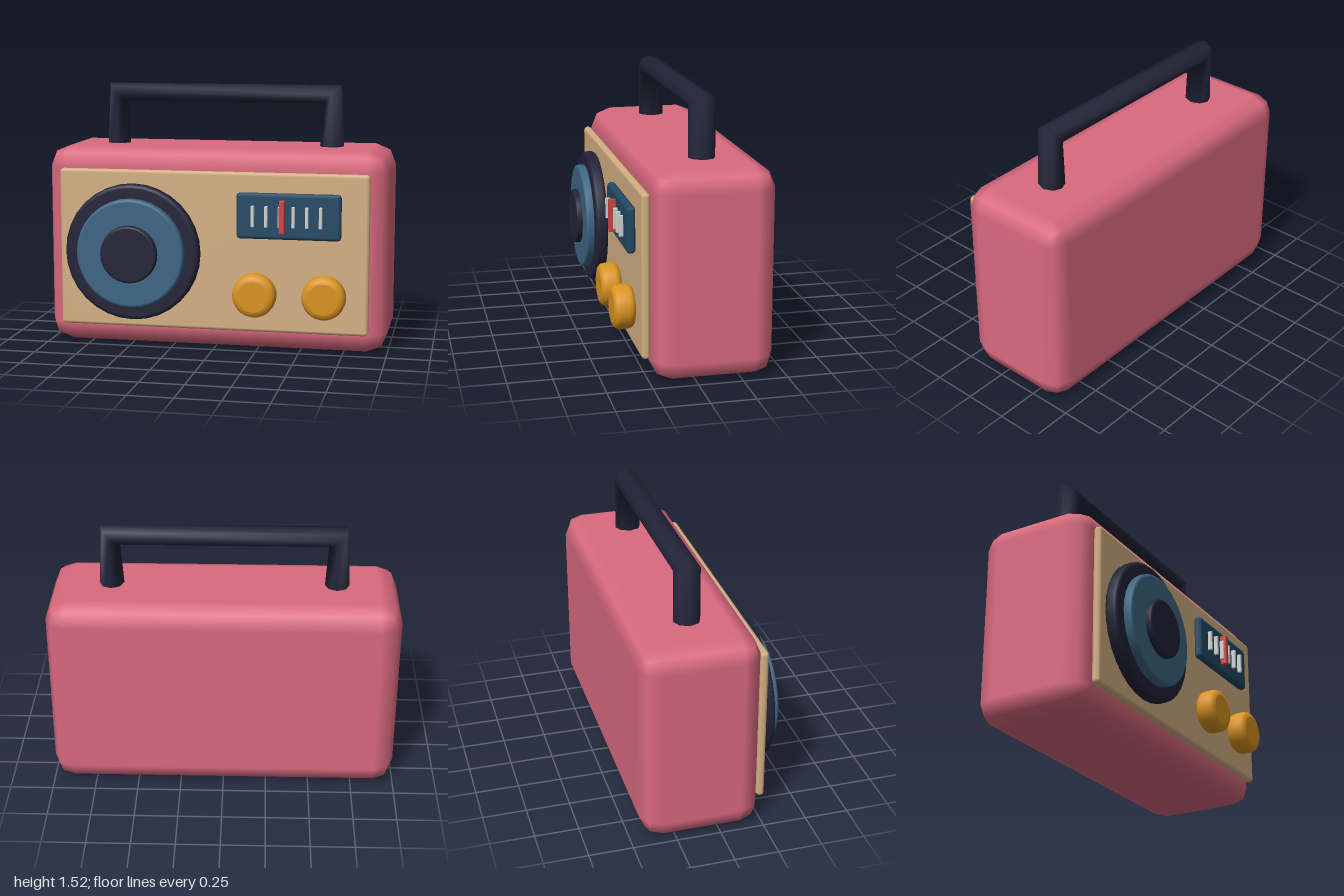
import * as THREE from 'three';
import { RoundedBoxGeometry } from 'three/addons/geometries/RoundedBoxGeometry.js';
import { mergeVertices } from 'three/addons/utils/BufferGeometryUtils.js';

const paint = (name, color) => Object.assign(new THREE.MeshStandardMaterial({ color }), { name });

export function createModel() {
  const pink = paint('pink', 0xda6a7f);
  const cream = paint('cream', 0xd6b185);
  const dark = paint('dark navy', 0x232338);
  const blue = paint('speaker blue', 0x3e6684);
  const teal = paint('display blue', 0x234a66);
  const amber = paint('amber', 0xdb9420);
  const red = paint('red', 0xd04444);
  const silver = paint('silver', 0xd0d4d2);

  const radio = new THREE.Group();
  radio.name = 'radio';

  const add = (name, geometry, material) => {
    const mesh = new THREE.Mesh(geometry, material);
    mesh.name = name;
    radio.add(mesh);
    return mesh;
  };

  // Softly rounded box given by its limits on each axis
  const block = (name, material, [x0, x1], [y0, y1], [z0, z1], radius) =>
    add(name, new RoundedBoxGeometry(x1 - x0, y1 - y0, z1 - z0, 1, radius), material)
      .position.set((x0 + x1) / 2, (y0 + y1) / 2, (z0 + z1) / 2);

  // Round disc facing +z with rounded rims; extra rings keep the flats flat
  const disc = (name, material, x, y, z0, z1, r, bevel) => {
    const h = z1 - z0;
    const e = 0.001;
    const profile = [new THREE.Vector2(0, 0), new THREE.Vector2(r - bevel - e, 0)];
    for (let i = 0; i <= 3; i++) {
      const a = (i / 3) * Math.PI / 2;
      profile.push(new THREE.Vector2(r - bevel + bevel * Math.sin(a), bevel - bevel * Math.cos(a)));
    }
    for (let i = 0; i <= 3; i++) {
      const a = (i / 3) * Math.PI / 2;
      profile.push(new THREE.Vector2(r - bevel + bevel * Math.cos(a), h - bevel + bevel * Math.sin(a)));
    }
    profile.push(new THREE.Vector2(r - bevel - e, h), new THREE.Vector2(0, h));
    const mesh = add(name, new THREE.LatheGeometry(profile, 32), material);
    mesh.rotation.x = Math.PI / 2;
    mesh.position.set(x, y, z0);
  };

  // Case and front panel
  block('case', pink, [-1, 1], [0, 1.165], [-0.44, 0.24], 0.12);
  block('frontPanel', cream, [-0.9, 0.9], [0.125, 1.045], [0.24, 0.288], 0.02);

  // Speaker: three stacked discs
  disc('speakerRing', dark, -0.455, 0.575, 0.285, 0.357, 0.395, 0.02);
  disc('speakerCone', blue, -0.455, 0.575, 0.345, 0.403, 0.315, 0.015);
  disc('speakerCap', dark, -0.455, 0.575, 0.39, 0.438, 0.165, 0.012);

  // Tuning display with scale marks and needle
  block('display', teal, [0.15, 0.745], [0.673, 0.935], [0.285, 0.335], 0.02);
  for (let i = 0; i < 6; i++) {
    const x = 0.247 + i * 0.077;
    block('scaleMark', silver, [x - 0.009, x + 0.009], [0.745, 0.865], [0.333, 0.36], 0.004);
  }
  block('needle', red, [0.4, 0.43], [0.713, 0.9], [0.333, 0.374], 0.004);

  // Knobs
  for (const x of [0.26, 0.655]) disc('knob', amber, x, 0.355, 0.288, 0.408, 0.124, 0.036);

  // Carry handle: an eight-sided tube, its rings turned diagonally at the corners
  const rings = [
    { x: -0.64, y: 1.06, angle: Math.PI },
    { x: -0.64, y: 1.467, angle: Math.PI * 0.75 },
    { x: 0.64, y: 1.467, angle: Math.PI * 0.25 },
    { x: 0.64, y: 1.06, angle: 0 },
  ];
  let tube = new THREE.CylinderGeometry(0.076, 0.076, 1, 8, 3, true);
  const p = tube.attributes.position;
  for (let i = 0; i < p.count; i++) {
    const ring = rings[Math.round((0.5 - p.getY(i)) * 3)];
    const out = p.getX(i);
    p.setXYZ(i, ring.x + out * Math.cos(ring.angle), ring.y + out * Math.sin(ring.angle), p.getZ(i) - 0.098);
  }
  tube.deleteAttribute('uv');
  tube.deleteAttribute('normal');
  tube = mergeVertices(tube);
  tube.computeVertexNormals();
  add('handle', tube, dark);

  return radio;
}
